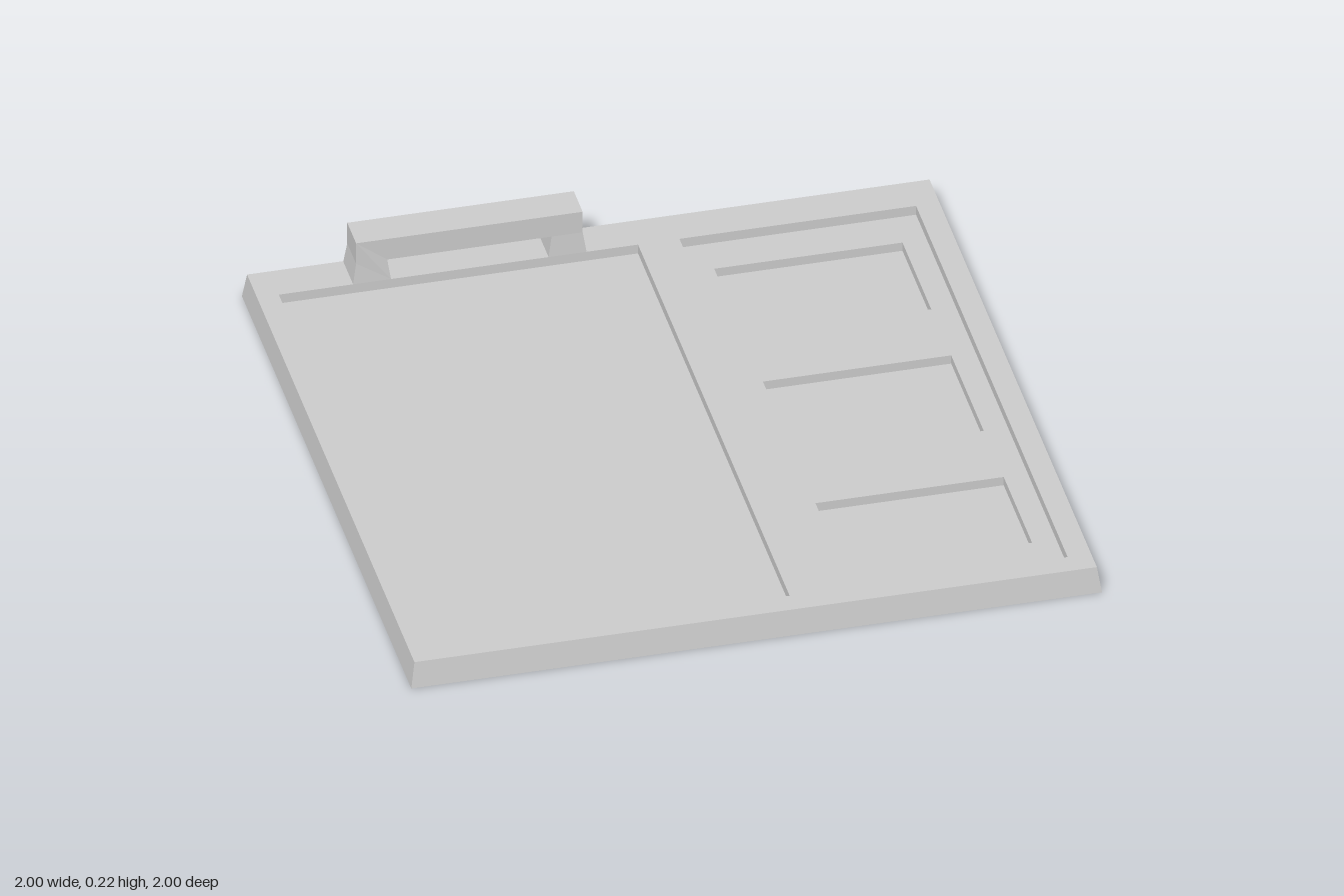
import * as THREE from 'three';
import { mergeGeometries } from 'three/addons/utils/BufferGeometryUtils.js';

const material = new THREE.MeshStandardMaterial({ color: 0xcccccc, flatShading: true });

// A rectangle is [x0, x1, z0, z1]
const corners = ([x0, x1, z0, z1]) => [[x0, z1], [x1, z1], [x1, z0], [x0, z0]];

// Four walls from rectangle a at height ya to rectangle b at yb: outward when rising, inward when falling
function walls(a, ya, b, yb) {
  const A = corners(a), B = corners(b), pos = [];
  for (let i = 0; i < 4; i++) {
    const j = (i + 1) % 4;
    const p = [A[i][0], ya, A[i][1]], q = [A[j][0], ya, A[j][1]];
    const r = [B[j][0], yb, B[j][1]], s = [B[i][0], yb, B[i][1]];
    pos.push(...p, ...q, ...r, ...p, ...r, ...s);
  }
  const g = new THREE.BufferGeometry();
  g.setAttribute('position', new THREE.Float32BufferAttribute(pos, 3));
  g.computeVertexNormals();
  return g;
}

// Upward-facing flat face with rectangular holes
function face(rect, y, holes = []) {
  const points = (r) => corners(r).map(([x, z]) => new THREE.Vector2(x, -z));
  const shape = new THREE.Shape(points(rect));
  for (const h of holes) shape.holes.push(new THREE.Path(points(h).reverse()));
  const g = new THREE.ShapeGeometry(shape).rotateX(-Math.PI / 2).translate(0, y, 0).toNonIndexed();
  g.deleteAttribute('uv');
  return g;
}

function addMesh(group, name, geometry) {
  const mesh = new THREE.Mesh(geometry, material);
  mesh.name = name;
  group.add(mesh);
}

export function createModel() {
  const model = new THREE.Group();
  model.name = 'tray';

  const top = 0.08, panelY = 0.05, pocketY = 0.022;
  const base = [-1, 1, -1, 1], rim = [-0.988, 0.988, -0.988, 0.988];
  const largePanel = [-0.925, 0.115, -0.87, 0.92];
  const sidePanel = [0.235, 0.92, -0.87, 0.92];
  const pockets = [[-0.745, -0.405], [-0.17, 0.215], [0.45, 0.785]].map(([a, b]) => [0.305, 0.85, a, b]);

  // Tapered slab with a flat underside
  const underside = face(base, 0).rotateX(Math.PI);
  addMesh(model, 'slab', mergeGeometries([
    walls(base, 0, rim, top), underside, face(rim, top, [largePanel, sidePanel]),
  ]));

  // Recessed panels
  addMesh(model, 'largePanel', mergeGeometries([
    walls(largePanel, top, largePanel, panelY), face(largePanel, panelY),
  ]));
  addMesh(model, 'sidePanel', mergeGeometries([
    walls(sidePanel, top, sidePanel, panelY), face(sidePanel, panelY, pockets),
  ]));

  // Deeper pockets in the side panel
  pockets.forEach((p, i) => addMesh(model, `pocket${i + 1}`, mergeGeometries([
    walls(p, panelY, p, pocketY), face(p, pocketY),
  ])));

  // Handle on the back edge, mirrored half profile, legs flaring at the foot
  const half = [[0.328, 0.215], [0.328, 0.145], [0.338, top], [0.228, top], [0.238, 0.145]];
  const profile = [...half, ...half.map(([x, y]) => [-x, y]).reverse()];
  const handle = new THREE.ExtrudeGeometry(
    new THREE.Shape(profile.map(([x, y]) => new THREE.Vector2(x, y))),
    { depth: 0.105, bevelEnabled: false },
  );
  const p = handle.attributes.position;
  for (let i = 0; i < p.count; i++) {
    if (p.getY(i) < top + 0.01) p.setZ(i, p.getZ(i) + (p.getZ(i) > 0.05 ? 0.005 : -0.006));
  }
  handle.translate(-0.372, 0, -0.98);
  handle.computeVertexNormals();
  addMesh(model, 'handle', handle);

  return model;
}
